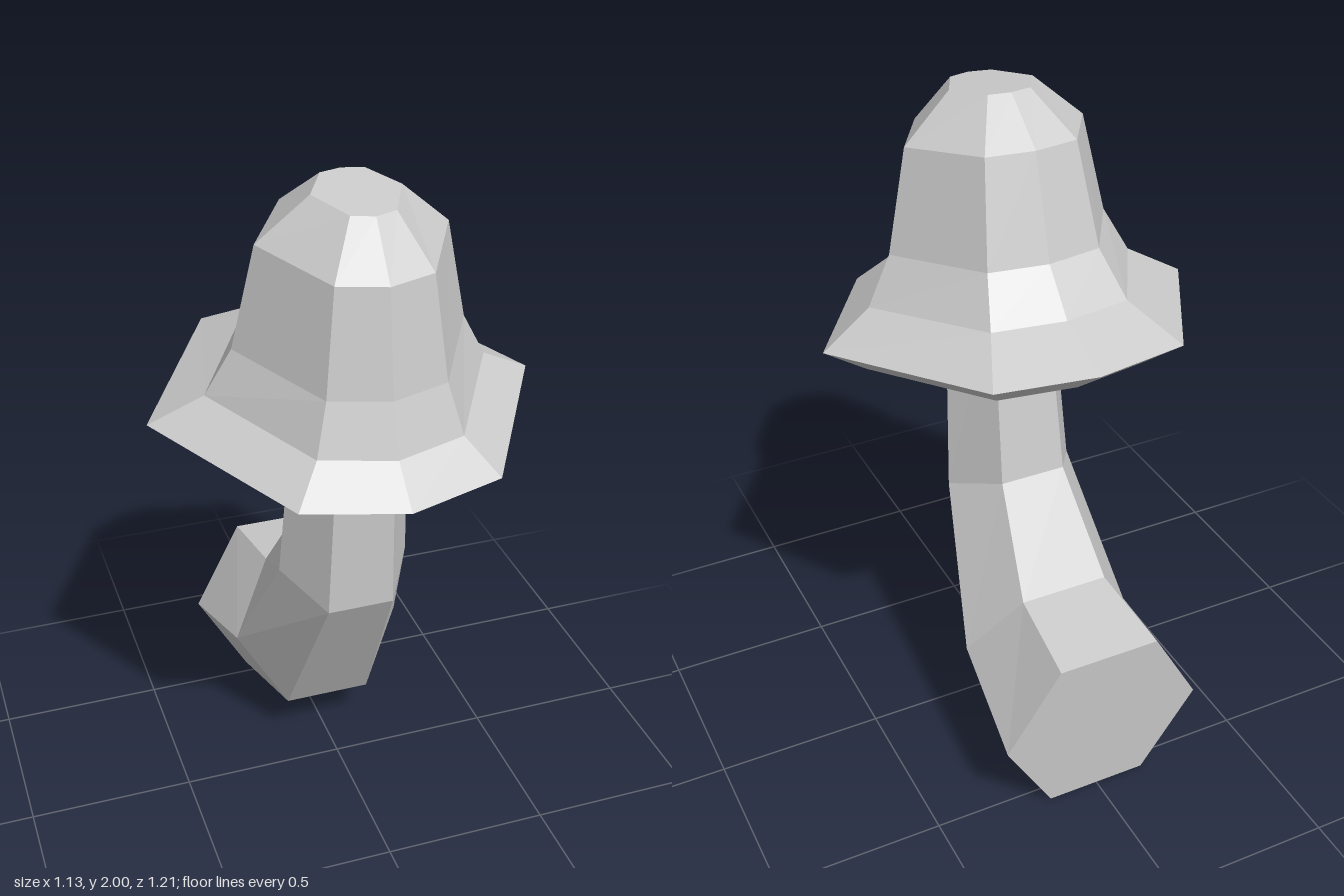
import * as THREE from 'three';

const material = new THREE.MeshStandardMaterial({ color: 0xcccccc, flatShading: true });

// Skin a stack of equal-sized rings (counter-clockwise from above) and close both ends.
function loft(name, rings) {
  const n = rings[0].length;
  const points = rings.flat();
  const index = [];
  const centre = (ring) => ring.reduce((c, p) => c.addScaledVector(p, 1 / n), new THREE.Vector3());
  const last = (rings.length - 1) * n;
  const bottom = points.push(centre(rings[0])) - 1;
  const top = points.push(centre(rings[rings.length - 1])) - 1;
  for (let j = 0; j < n; j++) {
    const k = (j + 1) % n;
    for (let i = 0; i < last; i += n) {
      index.push(i + j, i + k, i + n + k, i + j, i + n + k, i + n + j);
    }
    index.push(bottom, k, j, top, last + j, last + k);
  }
  const indexed = new THREE.BufferGeometry().setFromPoints(points);
  indexed.setIndex(index);
  const geometry = indexed.toNonIndexed();
  geometry.computeVertexNormals();
  const mesh = new THREE.Mesh(geometry, material);
  mesh.name = name;
  return mesh;
}

// Six-sided stem ring, tilted between its front and back edges.
function stemRing([w, zFront, yFront, zBack, yBack]) {
  return Array.from({ length: 6 }, (_, i) => {
    const a = (i * Math.PI) / 3;
    const t = 0.5 + Math.sin(a) / Math.sin(Math.PI / 3) / 2;
    return new THREE.Vector3(
      w * Math.cos(a),
      THREE.MathUtils.lerp(yFront, yBack, t),
      THREE.MathUtils.lerp(zFront, zBack, t)
    );
  });
}

// Cap ring: a hexagon with an extra point at the middle of its front and back sides.
function capRing([w, zSide, zFront, yFront, zBack, yBack]) {
  const zMid = (zFront + zBack) / 2;
  const r = (zFront - zBack) / 2;
  const zDiagBack = zMid - r * 0.9;
  const zDiagFront = zMid + r * 0.86;
  const outline = [
    [w, zSide], [w / 2, zDiagBack], [0, zBack], [-w / 2, zDiagBack],
    [-w, zSide], [-w / 2, zDiagFront], [0, zFront], [w / 2, zDiagFront],
  ];
  return outline.map(([x, z]) => new THREE.Vector3(
    x, THREE.MathUtils.mapLinear(z, zFront, zBack, yFront, yBack), z
  ));
}

export function createModel() {
  const group = new THREE.Group();
  group.name = 'mushroom';

  // Bent stem, from the foot up into the cap: half width, front z/y, back z/y
  group.add(loft('stem', [
    [0.31, -0.55, 0, -0.6, 0.54],
    [0.27, -0.1, 0.16, -0.32, 0.58],
    [0.2, 0.22, 0.72, -0.11, 0.86],
    [0.165, 0.26, 1.4, -0.02, 1.44],
  ].map(stemRing)));

  // Tilted cap, from the shallow underside over the rim to the crown:
  // half width, side z, front z/y, back z/y
  group.add(loft('cap', [
    [0.13, 0.08, 0.21, 1.36, -0.05, 1.39],
    [0.44, 0.055, 0.48, 1.2, -0.37, 1.31],
    [0.565, 0.05, 0.605, 1.27, -0.495, 1.41],
    [0.41, 0.09, 0.5, 1.37, -0.305, 1.48],
    [0.335, 0.11, 0.455, 1.52, -0.2, 1.6],
    [0.27, 0.13, 0.415, 1.82, -0.115, 1.89],
    [0.125, 0.155, 0.305, 1.965, 0.03, 2],
  ].map(capRing)));

  return group;
}
